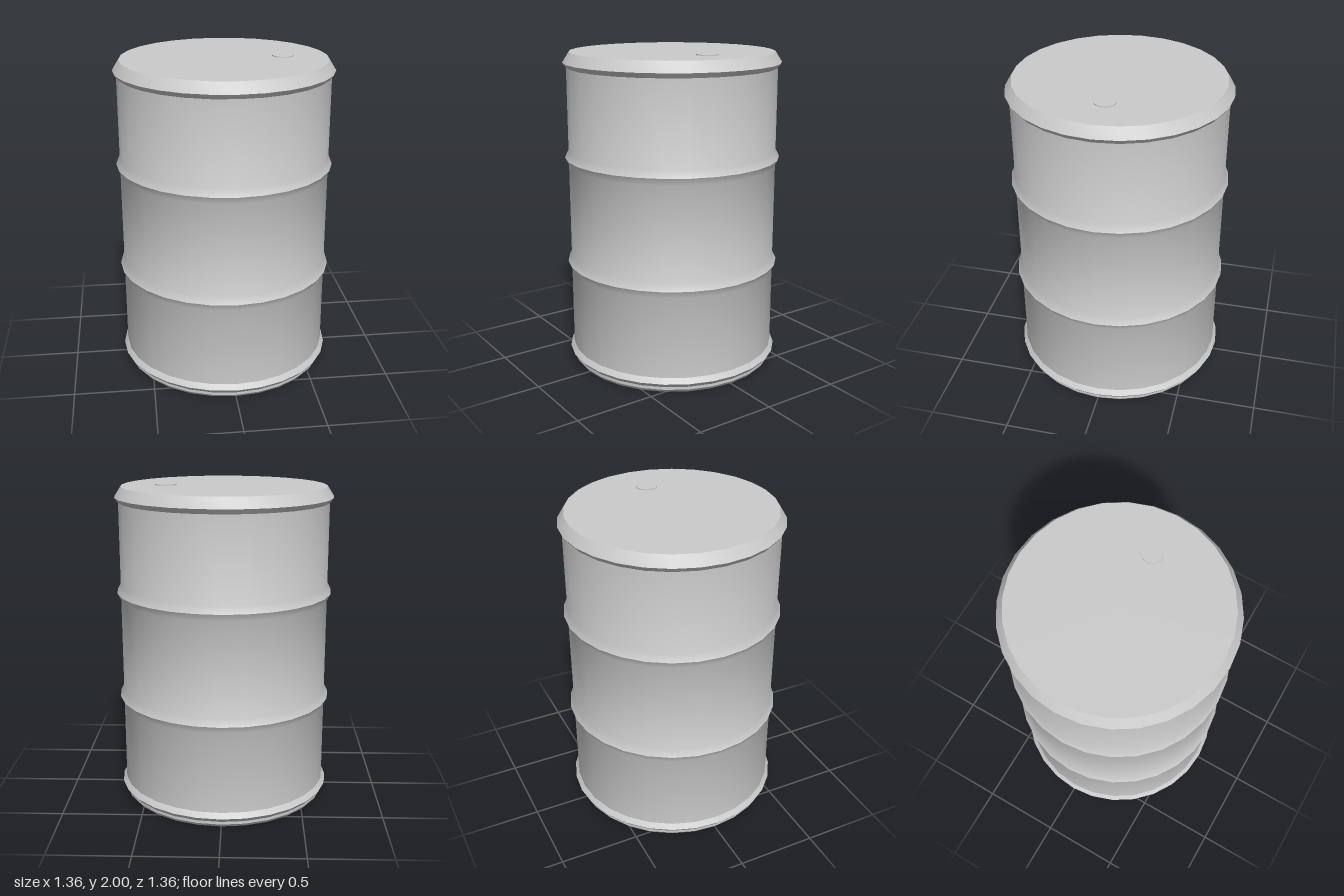
import * as THREE from 'three';
import { toCreasedNormals } from 'three/addons/utils/BufferGeometryUtils.js';

const SIDES = 28;
const WALL = 0.655; // radius of the plain wall
const RIB = 0.678;  // radius at the crest of a rib
const LID = 1.994;  // height of the lid

export function createModel() {
  const drum = new THREE.Group();
  drum.name = 'drum';
  const material = new THREE.MeshStandardMaterial({ color: 0xcccccc });

  const add = (name, geometry) => {
    const mesh = new THREE.Mesh(geometry, material);
    mesh.name = name;
    drum.add(mesh);
    return mesh;
  };

  // Shell: chamfered foot, bottom rim, two rolling ribs, chamfered top rim
  const profile = [[0.637, 0], [WALL, 0.022], [WALL, 0.04], [RIB, 0.068], [WALL, 0.1]];
  for (const y of [0.66, 1.34]) {
    profile.push([WALL, y - 0.045], [RIB, y], [WALL, y + 0.045]);
  }
  profile.push([WALL, 1.9], [RIB, 1.93], [0.637, LID]);
  const points = profile.map(([r, y]) => new THREE.Vector2(r, y));
  add('shell', toCreasedNormals(new THREE.LatheGeometry(points, SIDES), Math.PI / 6));

  // Flat ends
  const disc = new THREE.CircleGeometry(0.637, SIDES);
  add('lid', disc.clone().rotateX(-Math.PI / 2).translate(0, LID, 0));
  add('base', disc.clone().rotateX(Math.PI / 2));

  // Bung cap on the lid
  const bung = add('bungCap', new THREE.CylinderGeometry(0.066, 0.066, 0.012, 12));
  bung.position.set(0.361, 1.994, 0);

  return drum;
}
